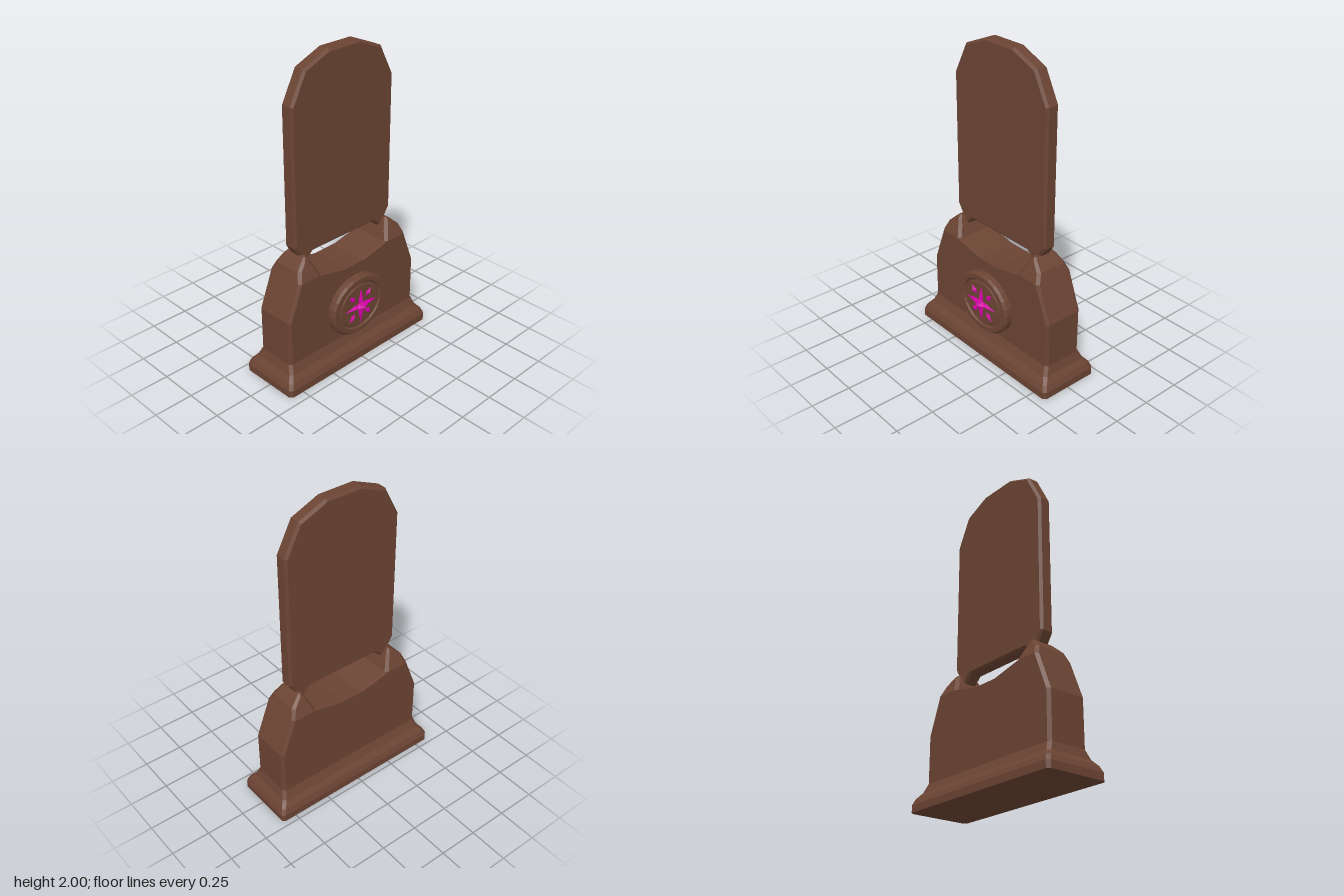
import * as THREE from 'three';

const brown = new THREE.MeshStandardMaterial({ color: 0x6b4433, flatShading: true });
brown.name = 'brown wood';
const magenta = new THREE.MeshStandardMaterial({ color: 0xd000a4, flatShading: true, side: THREE.DoubleSide });
magenta.name = 'magenta gem';

const CX = -0.0125; // the stand sits slightly off the x axis

function fromTriangles(tris) {
  const g = new THREE.BufferGeometry();
  g.setAttribute('position', new THREE.Float32BufferAttribute(tris.flat(2), 3));
  g.computeVertexNormals();
  return g;
}

// Stacks chamfered rectangles; each row is [y, half width in x, z0, z1, chamfer]
function loft(rows) {
  const rings = rows.map(([y, h, z0, z1, c]) => [
    [h, z1 - c], [h, z0 + c], [h - c, z0], [c - h, z0],
    [-h, z0 + c], [-h, z1 - c], [c - h, z1], [h - c, z1],
  ].map(([x, z]) => [x + CX, y, z]));
  const tris = [];
  for (let i = 0; i + 1 < rings.length; i++) {
    for (let j = 0; j < 8; j++) {
      const k = (j + 1) % 8, a = rings[i], b = rings[i + 1];
      tris.push([a[j], a[k], b[k]], [a[j], b[k], b[j]]);
    }
  }
  const bottom = rings[0], top = rings[rings.length - 1];
  for (let j = 1; j < 7; j++) {
    tris.push([bottom[0], bottom[j + 1], bottom[j]], [top[0], top[j], top[j + 1]]);
  }
  return fromTriangles(tris);
}

function add(parent, name, geometry, material) {
  const mesh = new THREE.Mesh(geometry, material);
  mesh.name = name;
  parent.add(mesh);
  return mesh;
}

// Four-armed raised star in the xy plane, pointing to +z
function starGeometry() {
  const tris = [];
  for (let i = 0; i < 4; i++) {
    const a = i * Math.PI / 2, c = Math.cos(a), s = Math.sin(a);
    const p = (u, v, h) => [u * c - v * s, u * s + v * c, h];
    const apex = p(0, 0, 0.046), ridge = p(0.045, 0, 0.026), tip = p(0.134, 0, 0.008);
    const w1 = p(0.05, 0.019, 0.008), w2 = p(0.05, -0.019, 0.008);
    const n1 = p(0.019, 0.019, 0.008), n2 = p(0.019, -0.019, 0.008);
    tris.push([tip, w1, ridge], [tip, ridge, w2], [ridge, w1, n1], [ridge, n2, w2],
      [apex, ridge, n1], [apex, n2, ridge]);
  }
  return fromTriangles(tris);
}

// Small raised diamond lying along a diagonal
function diamondGeometry(angle) {
  const c = Math.cos(angle), s = Math.sin(angle);
  const p = (u, v, h) => [u * c - v * s, u * s + v * c, h];
  const rim = [p(0.13, 0, 0.004), p(0.09, 0.019, 0.004), p(0.065, 0, 0.004), p(0.09, -0.019, 0.004)];
  const peak = p(0.093, 0, 0.02);
  return fromTriangles(rim.map((q, i) => [q, rim[(i + 1) % 4], peak]));
}

export function createModel() {
  const model = new THREE.Group();
  model.name = 'pedestalPanel';

  // Stand with flared foot
  const foot = [
    [0, 0.203, 0.597], [0.045, 0.203, 0.597], [0.08, 0.188, 0.582], [0.115, 0.158, 0.553],
    [0.17, 0.133, 0.535], [0.46, 0.133, 0.535], [0.646, 0.133, 0.463],
  ];
  add(model, 'stand', loft(foot.map(([y, h, z]) => [y, h, -z, z, 0.018])), brown);

  // Two shoulders that grip the panel, with a shallow dip between them
  const shoulder = [
    [0.646, 0.133, 0.07, 0.463, 0.018], [0.69, 0.133, 0.272, 0.446, 0.018],
    [0.75, 0.106, 0.298, 0.423, 0.018], [0.792, 0.088, 0.318, 0.378, 0.016],
    [0.815, 0.07, 0.332, 0.352, 0.008],
  ];
  add(model, 'leftShoulder', loft(shoulder), brown);
  add(model, 'rightShoulder', loft(shoulder.map(([y, h, a, b, c]) => [y, h, -b, -a, c])), brown);

  // Upright panel with bevelled edges and two feet at the lower corners
  const half = [
    [0.25, 0.805], [0.305, 0.755], [0.345, 0.79], [0.397, 0.87],
    [0.397, 1.735], [0.298, 1.925], [0.117, 2],
  ];
  const outline = [...half, ...half.map(([x, y]) => [-x, y]).reverse()];
  const panel = new THREE.ExtrudeGeometry(
    new THREE.Shape(outline.map(([x, y]) => new THREE.Vector2(x, y))),
    { depth: 0.06, bevelEnabled: true, bevelSegments: 1, bevelThickness: 0.015, bevelSize: 0.015, bevelOffset: -0.015 });
  panel.translate(0, 0, -0.03).rotateY(Math.PI / 2).translate(-0.015, 0, 0);
  add(model, 'panel', panel, brown);

  // Oval medallion on the +x face
  const medallion = new THREE.Group();
  medallion.name = 'medallion';
  medallion.position.set(0.12, 0.375, 0);
  medallion.rotation.y = Math.PI / 2;
  model.add(medallion);

  const profile = [
    [0.226, -0.01], [0.226, 0.035], [0.212, 0.05], [0.182, 0.05],
    [0.172, 0.04], [0.162, 0.04], [0.154, 0.046], [0, 0.046],
  ].map(([r, h]) => new THREE.Vector2(r, h));
  const disc = new THREE.LatheGeometry(profile, 24).rotateX(Math.PI / 2).scale(1, 0.885, 1);
  add(medallion, 'medallionDisc', disc, brown);

  const star = add(medallion, 'star', starGeometry(), magenta);
  star.position.z = 0.046;
  star.scale.y = 0.92;
  for (let i = 0; i < 4; i++) {
    const diamond = add(medallion, 'starDiamond', diamondGeometry(Math.PI / 4 + i * Math.PI / 2), magenta);
    diamond.position.z = 0.046;
  }
  return model;
}
